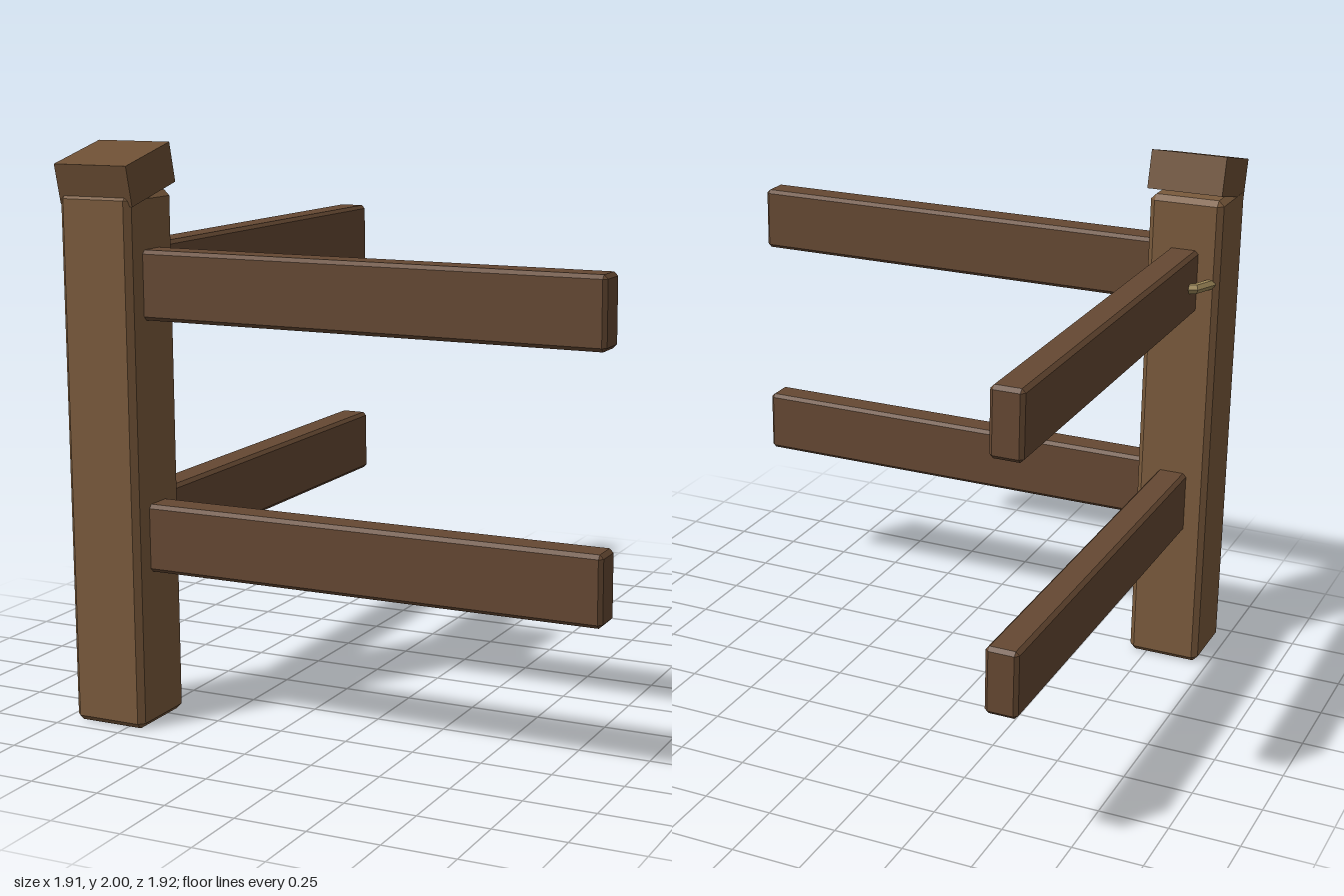
import * as THREE from 'three';
import { ConvexGeometry } from 'three/addons/geometries/ConvexGeometry.js';

const POST_X = -0.82, POST_Z = 0.81;

const wood = (color) => new THREE.MeshStandardMaterial({ color, flatShading: true });

// Box with every edge cut by a single flat chamfer
function chamferBox(w, h, d, c) {
  const points = [];
  for (const sx of [-1, 1]) for (const sy of [-1, 1]) for (const sz of [-1, 1]) {
    for (let axis = 0; axis < 3; axis++) {
      const half = [w / 2, h / 2, d / 2].map((v, i) => (i === axis ? v : v - c));
      points.push(new THREE.Vector3(sx * half[0], sy * half[1], sz * half[2]));
    }
  }
  return new ConvexGeometry(points);
}

export function createModel() {
  const model = new THREE.Group();
  const add = (name, geometry, material, x, y, z) => {
    const mesh = new THREE.Mesh(geometry, material);
    mesh.name = name;
    mesh.position.set(x, y, z);
    model.add(mesh);
    return mesh;
  };

  const postWood = wood(0x7a5a3c);
  const railWood = wood(0x654832);
  const capWood = wood(0x6e5035);
  const rope = wood(0xa08a5a);

  // Corner post
  add('cornerPost', chamferBox(0.275, 1.84, 0.275, 0.02), postWood, POST_X, 0.92, POST_Z);

  // Loose cap, tipped down towards the front
  const cap = add('postCap', new THREE.BoxGeometry(0.28, 0.14, 0.278), capWood, POST_X + 0.003, 1.9, 0.8125);
  cap.rotation.x = 0.236;

  // Two rails along each side of the corner, let into the post
  const start = 0.74, end = 0.955;
  const length = start + end;
  const middle = (end - start) / 2;
  for (const [level, y] of [['lower', 0.663], ['upper', 1.533]]) {
    add(level + 'SideRail', chamferBox(length, 0.237, 0.115, 0.013), railWood, middle, y, POST_Z);
    add(level + 'BackRail', chamferBox(0.115, 0.237, length, 0.013), railWood, POST_X, y, -middle);
  }

  // Rope loop round the upper back rail, ends hidden in the post
  const loop = add('ropeLoop', new THREE.TorusGeometry(0.108, 0.019, 6, 4, Math.PI), rope, POST_X, 1.532, 0.678);
  loop.rotation.x = -Math.PI / 2;

  return model;
}
